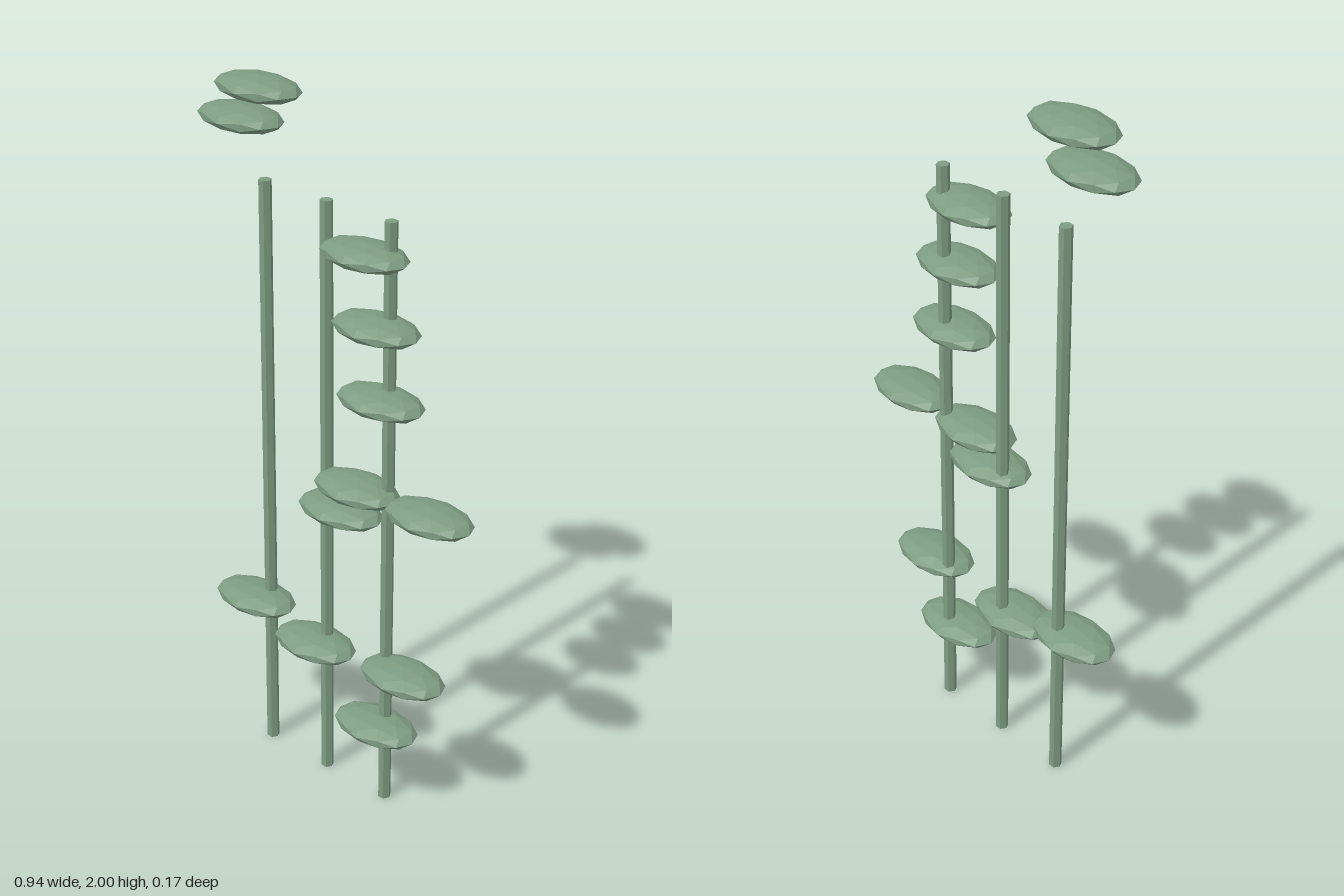
import * as THREE from 'three';

export function createModel() {
  const group = new THREE.Group();
  const green = new THREE.MeshStandardMaterial({ color: 0x7d9c82, flatShading: true });

  // Three thin hexagonal stems, set slightly behind the leaves
  const stemHeight = 1.715;
  const stemGeometry = new THREE.CylinderGeometry(0.018, 0.018, stemHeight, 6);
  stemGeometry.rotateY(Math.PI / 6);
  [-0.275, -0.055, 0.167].forEach((x, i) => {
    const stem = new THREE.Mesh(stemGeometry, green);
    stem.name = `stem${i + 1}`;
    stem.position.set(x, stemHeight / 2, -0.025);
    group.add(stem);
  });

  // Flattened faceted leaves: centre x, y
  const leafGeometry = new THREE.IcosahedronGeometry(1, 1);
  leafGeometry.scale(0.135, 0.033, 0.084);
  const leafCentres = [
    [-0.27, 1.967], [-0.335, 1.875],
    [0.1, 1.615], [0.142, 1.428], [0.16, 1.23],
    [0.333, 0.957], [0.078, 0.951], [0.02, 0.867],
    [-0.31, 0.465], [-0.077, 0.411], [0.25, 0.441], [0.155, 0.242],
  ];
  leafCentres.forEach(([x, y], i) => {
    const leaf = new THREE.Mesh(leafGeometry, green);
    leaf.name = `leaf${i + 1}`;
    leaf.position.set(x, y, 0);
    group.add(leaf);
  });

  return group;
}
